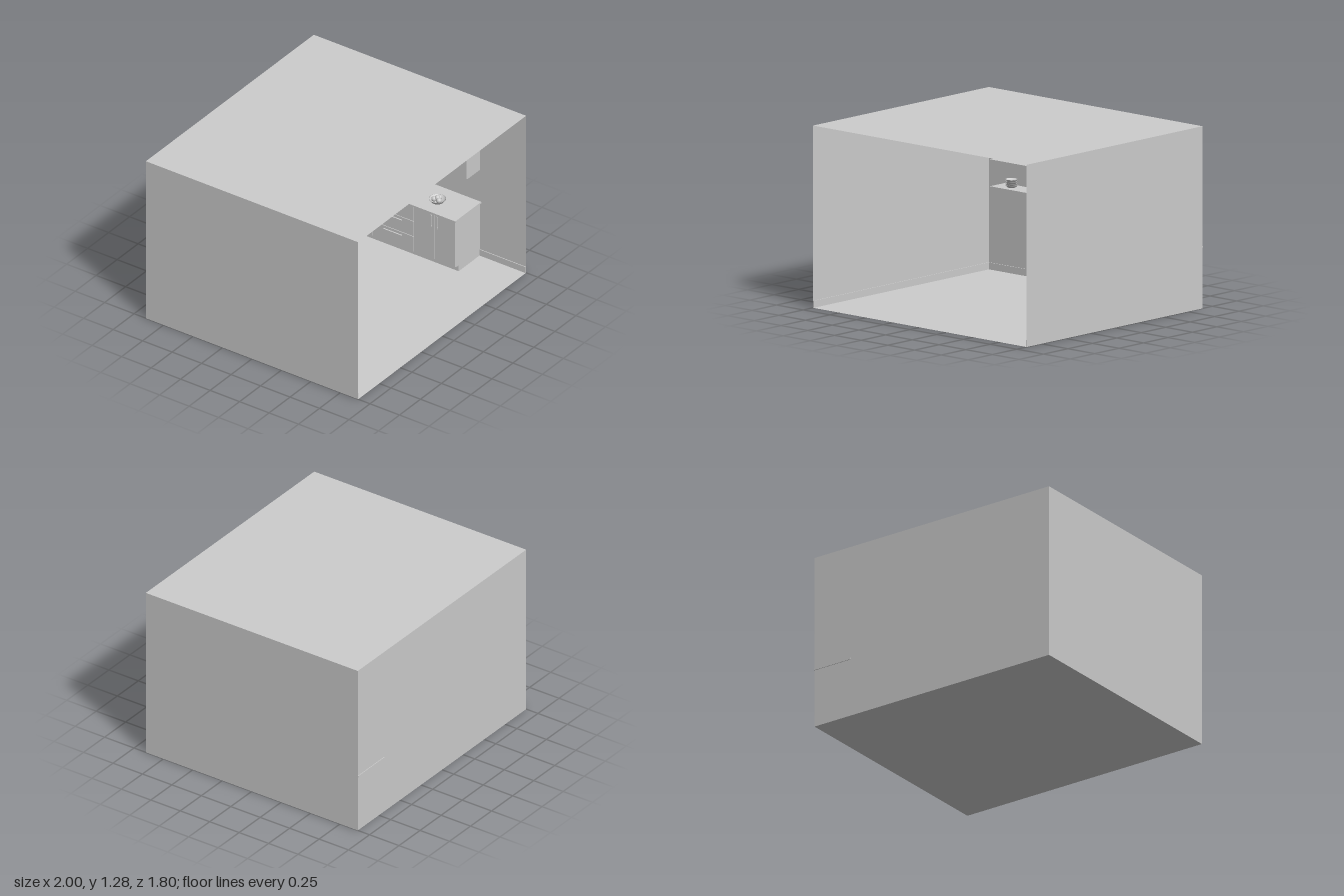
import * as THREE from 'three';

const grey = new THREE.MeshStandardMaterial({ color: 0xcccccc, side: THREE.DoubleSide });
grey.name = 'plain grey';

function add(parent, name, geometry, x = 0, y = 0, z = 0) {
  const mesh = new THREE.Mesh(geometry, grey);
  mesh.name = name;
  mesh.position.set(x, y, z);
  parent.add(mesh);
  return mesh;
}

// Box given by its two extreme corners
function box(parent, name, [x0, x1], [y0, y1], [z0, z1]) {
  return add(parent, name, new THREE.BoxGeometry(x1 - x0, y1 - y0, z1 - z0),
    (x0 + x1) / 2, (y0 + y1) / 2, (z0 + z1) / 2);
}

// Turned object from [radius, height] pairs
function lathe(parent, name, points, x, y, z) {
  return add(parent, name, new THREE.LatheGeometry(points.map(p => new THREE.Vector2(...p)), 32), x, y, z);
}

function section(parent, name) {
  const group = new THREE.Group();
  group.name = name;
  parent.add(group);
  return group;
}

function buildRoom(model) {
  const room = section(model, 'room');
  const H = 1.285;
  add(room, 'floor', new THREE.PlaneGeometry(2, 1.8).rotateX(-Math.PI / 2));
  add(room, 'ceiling', new THREE.PlaneGeometry(2, 1.8).rotateX(Math.PI / 2), 0, H, 0);
  add(room, 'backWall', new THREE.PlaneGeometry(2, H), 0, H / 2, -0.9);
  for (const s of [-1, 1]) {
    add(room, 'sideWall', new THREE.PlaneGeometry(1.8, H).rotateY(-s * Math.PI / 2), s, H / 2, 0);
    box(room, 'sideSkirting', s < 0 ? [-0.999, -0.993] : [0.993, 0.999], [0.001, 0.05], [-0.899, 0.899]);
  }
  box(room, 'backSkirting', [-0.993, 0.993], [0.001, 0.05], [-0.899, -0.893]);
}

function buildFridge(model) {
  const fridge = section(model, 'fridge');
  box(fridge, 'fridgePlinth', [-0.15, 0.15], [0.001, 0.035], [-0.89, -0.6]);
  box(fridge, 'fridgeBody', [-0.163, 0.163], [0.033, 0.903], [-0.89, -0.6]);
  box(fridge, 'fridgeTopTrim', [-0.165, 0.165], [0.888, 0.905], [-0.89, -0.573]);
  for (const [y0, y1, h0, h1] of [[0.035, 0.325, 0.115, 0.3], [0.335, 0.885, 0.365, 0.565]]) {
    box(fridge, 'fridgeDoor', [-0.165, 0.165], [y0, y1], [-0.598, -0.573]);
    box(fridge, 'fridgeHandle', [-0.151, -0.14], [h0, h1], [-0.558, -0.549]);
    for (const y of [h0 + 0.015, h1 - 0.015])
      box(fridge, 'handleMount', [-0.149, -0.142], [y - 0.005, y + 0.005], [-0.573, -0.555]);
  }
}

function buildShelves(model) {
  const shelves = section(model, 'shelves');
  for (const top of [0.628, 0.818]) {
    box(shelves, 'shelf', [-0.853, -0.333], [top - 0.016, top], [-0.899, -0.75]);
    for (const x of [-0.808, -0.38]) {
      box(shelves, 'bracketLeg', [x - 0.003, x + 0.003], [top - 0.045, top - 0.016], [-0.899, -0.893]);
      box(shelves, 'bracketArm', [x - 0.003, x + 0.003], [top - 0.022, top - 0.016], [-0.899, -0.78]);
    }
  }
  // Crockery
  lathe(shelves, 'jar', [[0, 0], [0.02, 0], [0.02, 0.065], [0.022, 0.065], [0.022, 0.074], [0, 0.076]], -0.67, 0.818, -0.82);
  lathe(shelves, 'vase', [[0, 0], [0.014, 0], [0.021, 0.018], [0.024, 0.036], [0.021, 0.055], [0.012, 0.072],
    [0.012, 0.08], [0.015, 0.087], [0.011, 0.08], [0.01, 0.07]], -0.505, 0.818, -0.82);
  for (let i = 0; i < 4; i++)
    lathe(shelves, 'stackedBowl', [[0, 0], [0.024, 0], [0.036, 0.008], [0.043, 0.02], [0.041, 0.02],
      [0.034, 0.01], [0, 0.004]], -0.715, 0.628 + i * 0.013, -0.82);
}

const Z0 = -0.899, Z1 = 0.51, COUNT = 4;
const STEP = (Z1 - Z0) / COUNT;
const SINK = { x0: 0.765, x1: 0.935, z0: -0.48, z1: -0.26, floor: 0.35 };

function buildLowerCabinets(model) {
  const lower = section(model, 'lowerCabinets');
  box(lower, 'toeKick', [0.745, 0.999], [0.001, 0.05], [Z0, Z1]);
  for (let i = 0; i < COUNT; i++) {
    const a = Z0 + i * STEP, b = a + STEP;
    box(lower, 'carcass', [0.715, 0.999], [0.05, i === 1 ? 0.34 : 0.43], [a, b]);
    if (i % 2 === 0) {
      // Drawer stack with horizontal pulls
      for (const [y0, y1] of [[0.053, 0.173], [0.177, 0.297], [0.301, 0.427]]) {
        box(lower, 'drawerFront', [0.705, 0.715], [y0, y1], [a + 0.002, b - 0.002]);
        box(lower, 'drawerPull', [0.695, 0.705], [y1 - 0.026, y1 - 0.02], [a + 0.1, b - 0.1]);
      }
    } else {
      // Pair of doors with upright handles
      const m = (a + b) / 2;
      for (const s of [-1, 1]) {
        const z = m + s * STEP / 4, h = m + s * 0.025;
        box(lower, 'lowerDoor', [0.705, 0.715], [0.053, 0.427], [z - STEP / 4 + 0.002, z + STEP / 4 - 0.002]);
        box(lower, 'lowerHandle', [0.694, 0.699], [0.315, 0.415], [h - 0.004, h + 0.004]);
        for (const y of [0.325, 0.405])
          box(lower, 'handleMount', [0.697, 0.705], [y - 0.003, y + 0.003], [h - 0.003, h + 0.003]);
      }
    }
  }
}

function buildWorktop(model) {
  const top = section(model, 'worktop');
  const { x0, x1, z0, z1, floor } = SINK;
  const rect = (C, a, b, c, d) => {
    const r = new C();
    r.moveTo(a, -c); r.lineTo(b, -c); r.lineTo(b, -d); r.lineTo(a, -d); r.closePath();
    return r;
  };
  const slab = rect(THREE.Shape, 0.69, 1, 0.52, -0.905);
  slab.holes.push(rect(THREE.Path, x0, x1, z0, z1));
  add(top, 'counterTop', new THREE.ExtrudeGeometry(slab, { depth: 0.012, bevelEnabled: false })
    .rotateX(-Math.PI / 2), 0, 0.428, 0);
  // Sink basin
  const t = 0.003;
  box(top, 'sinkFloor', [x0 - t, x1 + t], [floor - t, floor], [z0 - t, z1 + t]);
  for (const x of [x0 - t, x1]) box(top, 'sinkSide', [x, x + t], [floor, 0.428], [z0 - t, z1 + t]);
  for (const z of [z0 - t, z1]) box(top, 'sinkEnd', [x0, x1], [floor, 0.428], [z, z + t]);
  // Tap
  const zt = (z0 + z1) / 2;
  const path = new THREE.CatmullRomCurve3([[0.97, 0.44], [0.97, 0.5], [0.97, 0.56], [0.961, 0.585], [0.94, 0.595],
    [0.919, 0.585], [0.911, 0.568]].map(([x, y]) => new THREE.Vector3(x, y, zt)));
  add(top, 'tapSpout', new THREE.TubeGeometry(path, 40, 0.005, 12));
  add(top, 'tapBase', new THREE.CylinderGeometry(0.009, 0.011, 0.02, 24), 0.97, 0.45, zt);
  box(top, 'tapLever', [0.967, 0.973], [0.456, 0.462], [zt, zt + 0.035]);
  // Canister and fruit bowl
  lathe(top, 'canister', [[0, 0], [0.022, 0], [0.022, 0.07], [0.023, 0.07], [0.023, 0.08], [0, 0.08]], 0.903, 0.44, 0.05);
  lathe(top, 'fruitBowl', [[0, 0], [0.025, 0], [0.027, 0.005], [0.045, 0.015], [0.06, 0.035],
    [0.057, 0.035], [0.042, 0.018], [0, 0.008]], 0.815, 0.44, 0.28);
  for (let i = 0; i < 4; i++) {
    const a = i * Math.PI * 2 / 3, r = i < 3 ? 0.024 : 0;
    add(top, 'fruit', new THREE.SphereGeometry(0.019, 24, 16),
      0.815 + r * Math.cos(a), i < 3 ? 0.472 : 0.482, 0.28 + r * Math.sin(a));
  }
}

function buildUpperCabinets(model) {
  const upper = section(model, 'upperCabinets');
  box(upper, 'upperCarcass', [0.85, 0.999], [0.7, 1.04], [Z0, Z1]);
  for (let i = 0; i < COUNT; i++) {
    const a = Z0 + i * STEP, b = a + STEP;
    const h = i % 2 ? a + 0.025 : b - 0.025;
    box(upper, 'upperDoor', [0.84, 0.85], [0.702, 1.038], [a + 0.002, b - 0.002]);
    box(upper, 'upperHandle', [0.83, 0.835], [0.73, 0.795], [h - 0.004, h + 0.004]);
    for (const y of [0.738, 0.787])
      box(upper, 'handleMount', [0.833, 0.84], [y - 0.003, y + 0.003], [h - 0.003, h + 0.003]);
  }
}

export function createModel() {
  const model = new THREE.Group();
  model.name = 'kitchenRoom';
  for (const build of [buildRoom, buildFridge, buildShelves, buildLowerCabinets, buildWorktop, buildUpperCabinets])
    build(model);
  return model;
}
